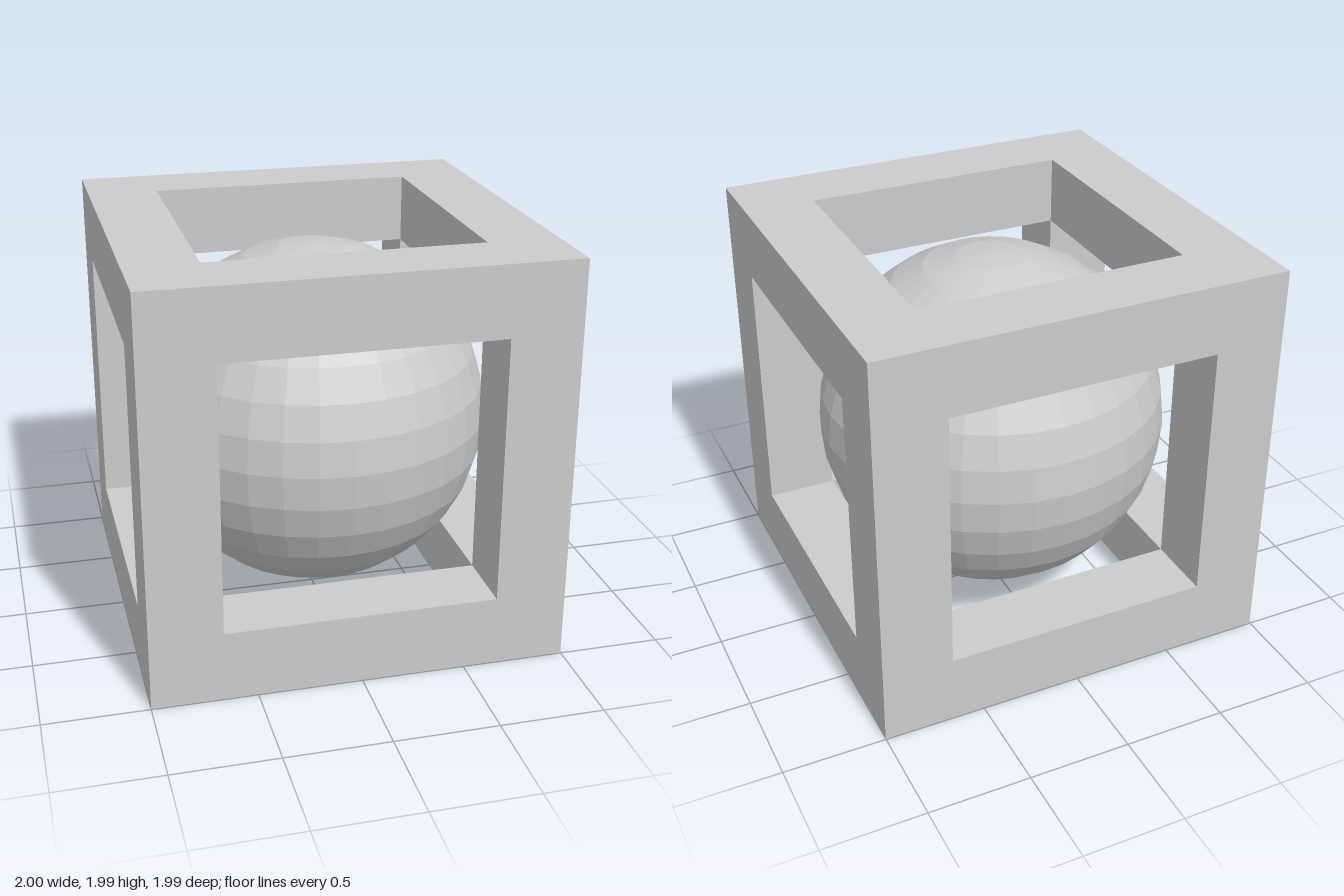
import * as THREE from 'three';
import { mergeGeometries } from 'three/addons/utils/BufferGeometryUtils.js';

const HALF = 1;        // half of the cube's edge
const HOLE = 0.655;    // half of each square window
const BALL = 0.865;    // ball radius
const SIZE = [1, 0.995, 0.995];

// One side of the frame, facing +z: a square with a window and the window's four reveals
function frameSide() {
  const square = (path, r) => {
    path.moveTo(-r, -r);
    path.lineTo(r, -r);
    path.lineTo(r, r);
    path.lineTo(-r, r);
    path.closePath();
    return path;
  };
  const face = square(new THREE.Shape(), HALF);
  face.holes.push(square(new THREE.Path(), HOLE));
  const parts = [new THREE.ShapeGeometry(face).translate(0, 0, HALF)];
  for (let i = 0; i < 4; i++) {
    parts.push(new THREE.PlaneGeometry(HALF - HOLE, 2 * HOLE)
      .rotateY(-Math.PI / 2)
      .translate(HOLE, 0, (HALF + HOLE) / 2)
      .rotateZ(i * Math.PI / 2));
  }
  return mergeGeometries(parts);
}

export function createModel() {
  const group = new THREE.Group();
  const material = new THREE.MeshStandardMaterial({ color: 0xcccccc, flatShading: true });

  // Open cube frame: six sides closing into twelve square bars
  const sides = [];
  for (let i = 0; i < 4; i++) sides.push(frameSide().rotateY(i * Math.PI / 2));
  for (const s of [-1, 1]) sides.push(frameSide().rotateX(s * Math.PI / 2));
  const frame = new THREE.Mesh(mergeGeometries(sides).scale(...SIZE), material);
  frame.name = 'cubeFrame';

  // Faceted ball held inside the frame
  const ball = new THREE.Mesh(new THREE.SphereGeometry(BALL, 32, 16), material);
  ball.name = 'ball';

  for (const mesh of [frame, ball]) {
    mesh.position.y = SIZE[1];
    group.add(mesh);
  }
  return group;
}
